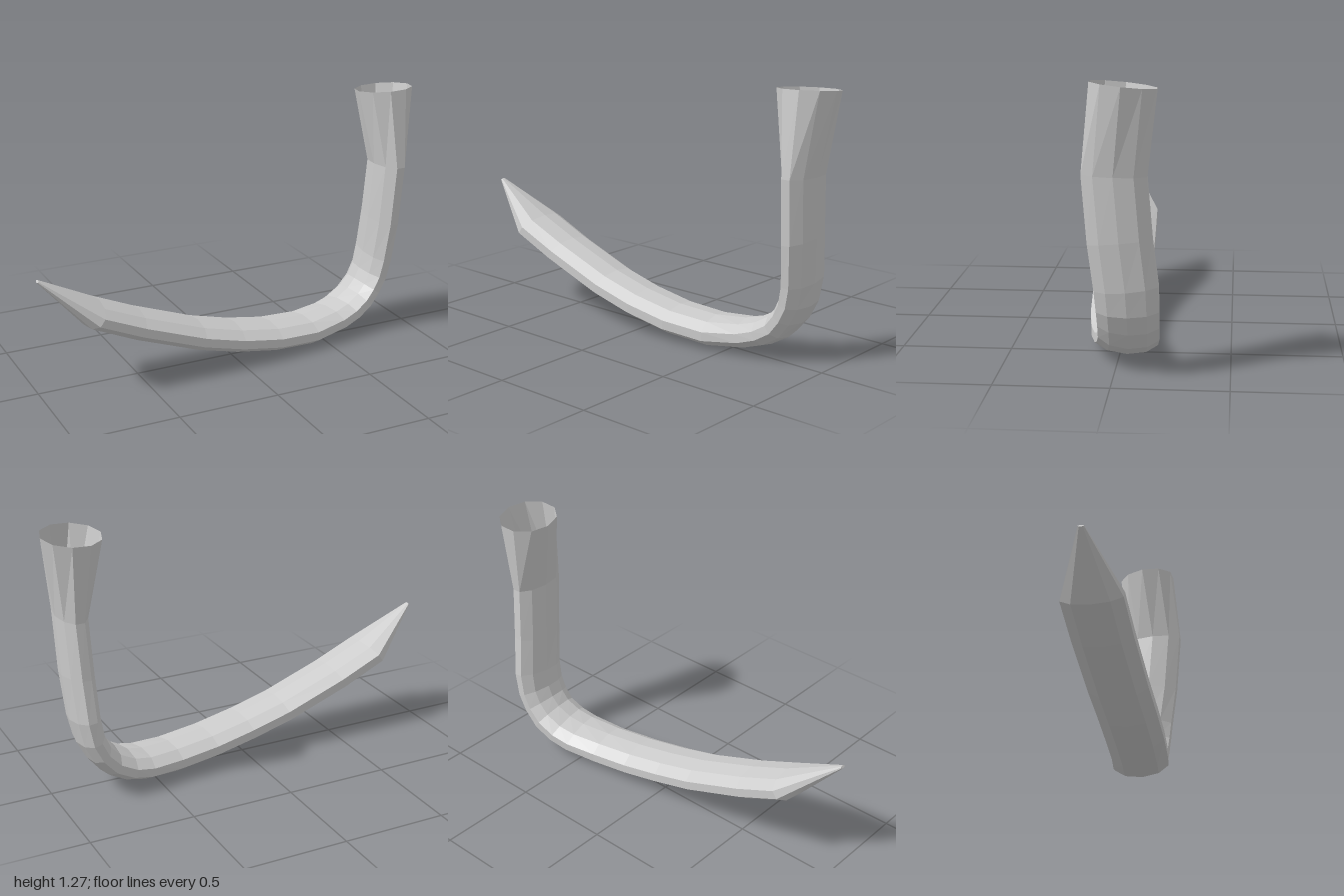
import * as THREE from 'three';

const SIDES = 10;

// Stations from socket to tip: inner edge x, y, outer edge x, y, centre z, half width
const STATIONS = [
  [0.72, 1.25, 1.0, 1.26, -0.045, 0.147],
  [0.80, 0.88, 0.94, 0.88, -0.007, 0.145],
  [0.79, 0.59, 0.93, 0.60, -0.03, 0.145],
  [0.78, 0.40, 0.912, 0.385, -0.055, 0.145],
  [0.765, 0.31, 0.887, 0.27, -0.06, 0.142],
  [0.74, 0.255, 0.84, 0.18, -0.06, 0.14],
  [0.70, 0.21, 0.775, 0.10, -0.057, 0.14],
  [0.63, 0.17, 0.69, 0.05, -0.045, 0.143],
  [0.55, 0.15, 0.59, 0.02, -0.028, 0.145],
  [0.40, 0.14, 0.40, 0.00, 0.005, 0.145],
  [0.20, 0.155, 0.185, 0.017, 0.028, 0.147],
  [0.00, 0.192, -0.03, 0.057, 0.04, 0.147],
  [-0.20, 0.245, -0.24, 0.112, 0.044, 0.147],
  [-0.50, 0.355, -0.56, 0.23, 0.047, 0.147],
  [-0.70, 0.44, -0.78, 0.33, 0.05, 0.147],
  [-0.993, 0.594, -1.0, 0.583, 0.065, 0.014],
];

// Lofts oval rings along the bent path, open at the socket and closed at the tip
function loftGeometry() {
  const rings = STATIONS.map(([ix, iy, ox, oy, z, half]) => ({
    centre: new THREE.Vector3((ix + ox) / 2, (iy + oy) / 2, z),
    out: new THREE.Vector3((ox - ix) / 2, (oy - iy) / 2, 0),
    half,
  }));
  const positions = [], index = [];
  const last = rings.length - 1;
  rings.forEach(({ centre, out, half }, i) => {
    const tangent = rings[Math.min(i + 1, last)].centre.clone()
      .sub(rings[Math.max(i - 1, 0)].centre);
    const side = tangent.cross(out).normalize().multiplyScalar(half);
    for (let j = 0; j < SIDES; j++) {
      const a = (j / SIDES) * Math.PI * 2;
      const p = centre.clone().addScaledVector(out, Math.cos(a)).addScaledVector(side, Math.sin(a));
      positions.push(p.x, p.y, p.z);
    }
  });
  for (let i = 0; i < last; i++) {
    for (let j = 0; j < SIDES; j++) {
      const k = (j + 1) % SIDES;
      const a = i * SIDES + j, b = i * SIDES + k;
      index.push(a, b, b + SIDES, a, b + SIDES, a + SIDES);
    }
  }
  // Small cap on the tip
  const first = last * SIDES;
  for (let j = 1; j < SIDES - 1; j++) index.push(first, first + j, first + j + 1);

  const geometry = new THREE.BufferGeometry();
  geometry.setAttribute('position', new THREE.Float32BufferAttribute(positions, 3));
  geometry.setIndex(index);
  const flat = geometry.toNonIndexed();
  flat.computeVertexNormals();
  return flat;
}

export function createModel() {
  const group = new THREE.Group();
  group.name = 'bentHook';
  const material = new THREE.MeshStandardMaterial({
    color: 0xcccccc, flatShading: true, side: THREE.DoubleSide,
  });
  const hook = new THREE.Mesh(loftGeometry(), material);
  hook.name = 'hookWithSocket';
  group.add(hook);
  return group;
}
